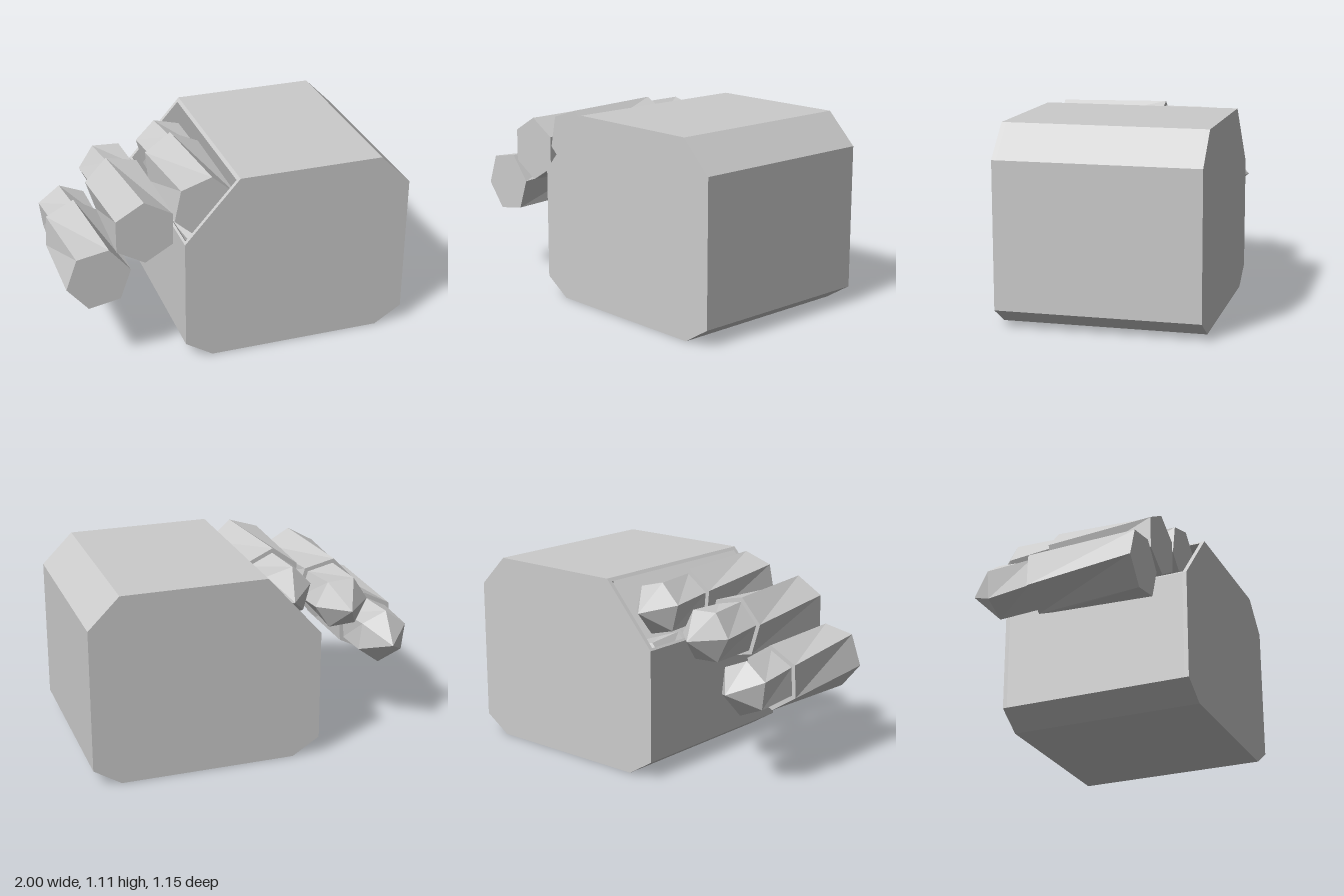
import * as THREE from 'three';

const material = new THREE.MeshStandardMaterial({ color: 0xcccccc, flatShading: true, side: THREE.DoubleSide });
const DEG = Math.PI / 180;

// Extrudes an outline between two z positions
function extrude(name, points, z0, z1) {
  const shape = new THREE.Shape(points.map(([x, y]) => new THREE.Vector2(x, y)));
  const geometry = new THREE.ExtrudeGeometry(shape, { depth: z1 - z0, bevelEnabled: false });
  geometry.translate(0, 0, z0);
  const mesh = new THREE.Mesh(geometry, material);
  mesh.name = name;
  return mesh;
}

// Joins six-sided rings given as [z, radius, angle], from front to back
function ringLoft(name, rings) {
  const corner = ([z, r, angle], i) => {
    const a = (angle + i * 60) * DEG;
    return [r * Math.cos(a), r * Math.sin(a), z];
  };
  const positions = [];
  for (let k = 0; k < rings.length - 1; k++) {
    const a = rings[k], b = rings[k + 1];
    for (let i = 0; i < 6; i++) {
      if (b[1] > 0) positions.push(...corner(a, i), ...corner(b, i), ...corner(b, i + 1));
      if (a[1] > 0) positions.push(...corner(a, i), ...corner(b, i + 1), ...corner(a, i + 1));
    }
  }
  const geometry = new THREE.BufferGeometry();
  geometry.setAttribute('position', new THREE.Float32BufferAttribute(positions, 3));
  geometry.computeVertexNormals();
  const mesh = new THREE.Mesh(geometry, material);
  mesh.name = name;
  return mesh;
}

// Slightly twisted round: case with flat base, narrower pointed tip
function makeCartridge(x, y, turn) {
  const group = new THREE.Group();
  group.name = 'cartridge';
  const front = turn - 17, tip = turn + 10;
  group.add(
    ringLoft('case', [[0.51, 0, front], [0.51, 0.187, front], [-0.105, 0.187, turn], [-0.105, 0, turn]]),
    ringLoft('bullet', [[-0.1, 0.16, turn], [-0.36, 0.16, tip], [-0.52, 0, tip]])
  );
  group.position.set(x, y, 0);
  return group;
}

export function createModel() {
  const model = new THREE.Group();

  // Hollow box: a wall open along the slanted corner, closed by two end plates
  const outer = [[-0.34, 0.75], [-0.34, 0.1], [-0.18, 0], [0.84, 0], [1, 0.1], [1, 0.93], [0.82, 1.11], [-0.02, 1.11]];
  const inner = [[-0.035, 1.093], [0.81, 1.085], [0.975, 0.92], [0.975, 0.113], [0.833, 0.025],
    [-0.173, 0.025], [-0.315, 0.113], [-0.315, 0.74], [-0.33, 0.761]];
  const box = new THREE.Group();
  box.name = 'box';
  box.add(
    extrude('boxWall', [...outer, ...inner], -0.55, 0.55),
    extrude('frontPlate', outer, 0.55, 0.575),
    extrude('backPlate', outer, -0.575, -0.55)
  );
  model.add(box);

  // Chain of rounds coming out of the opening; the last is inside the box
  const chain = [[-0.817, 0.583, 87], [-0.55, 0.83, 107], [-0.2, 0.928, 95], [-0.11, 0.57, 100]];
  for (const [x, y, turn] of chain) model.add(makeCartridge(x, y, turn));

  return model;
}
